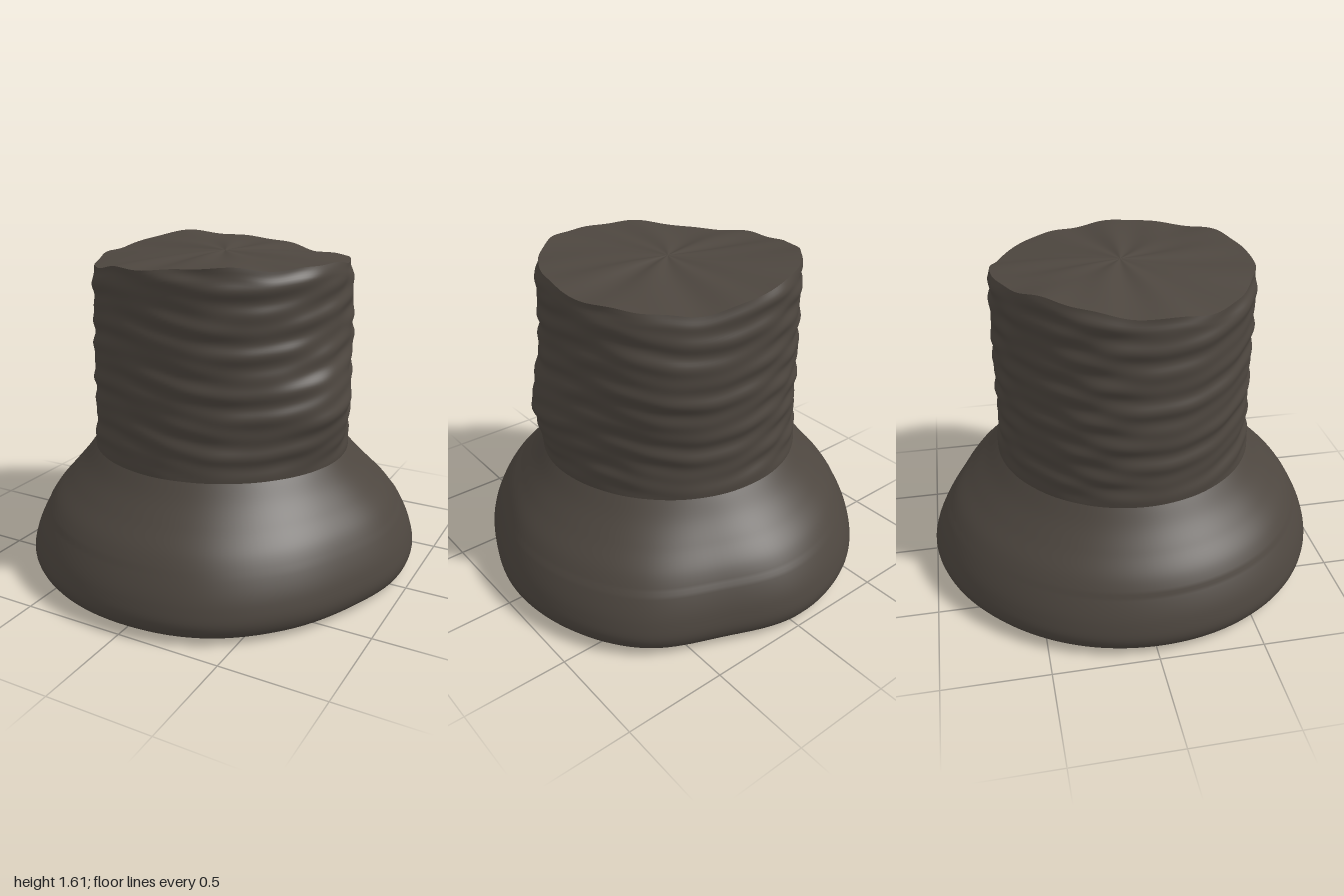
import * as THREE from 'three';

const SEG = 160;
const { sin, cos, exp, PI } = Math;

// Brim outline: radius every 22.5 degrees, from +x towards +z
const OUTLINE = [0.97, 0.94, 0.965, 1, 1, 1, 1, 0.99, 0.98, 0.98, 0.985, 1, 1, 0.955, 1, 0.99];

function brimRadius(t) {
  const n = OUTLINE.length;
  const f = (t / (2 * PI)) * n;
  const i = Math.floor(f);
  const k = f - i;
  const p = (j) => OUTLINE[(i + j + n) % n];
  // smooth closed Catmull-Rom interpolation
  return p(0) + 0.5 * k * (p(1) - p(-1)
    + k * (2 * p(-1) - 5 * p(0) + 4 * p(1) - p(2)
    + k * (3 * (p(0) - p(1)) + p(2) - p(-1))));
}

// Soft bump on the crown at an angle and height
function bump(t, y, t0, y0, wt, wy, amount) {
  const d = Math.atan2(sin(t - t0), cos(t - t0));
  return amount * exp(-((d / wt) ** 2) - ((y - y0) / wy) ** 2);
}

function crownRadius(t, y) {
  const fade = Math.min(1, Math.max(0, (y - 0.6) / 0.12));
  const wrinkles = 0.004 * sin(42 * y + 2.5 * sin(2 * t) + sin(5 * t + 1))
    + 0.003 * sin(67 * y - 3 * sin(3 * t + 2)) + 0.002 * sin(17 * t + 9 * y);
  return 0.628 - 0.012 * cos(t) + 0.008 * sin(t) + fade * wrinkles
    + bump(t, y, 0.28, 0.9, 0.45, 0.2, 0.07)
    + bump(t, y, PI, 0.9, 0.7, 0.35, 0.015)
    + bump(t, y, -0.8, 1.2, 0.5, 0.25, 0.035)
    + 0.015 * exp(-(((y - 0.6) / 0.12) ** 2));
}

// Uneven height of the crown's upper edge
const rimHeight = (t) => 1.555 + 0.03 * cos(2 * (t - 0.87)) + 0.012 * cos(3 * t + 1)
  + 0.007 * sin(7 * t) + 0.004 * sin(13 * t + 1);

// Skin over closed rings; point(v, t) gives [radius, height]
function skin(name, material, rows, point) {
  const pos = [];
  const index = [];
  for (let i = 0; i <= rows; i++) {
    for (let j = 0; j < SEG; j++) {
      const t = (j / SEG) * 2 * PI;
      const [r, y] = point(i / rows, t);
      pos.push(r * cos(t), y, r * sin(t));
      if (i === rows) continue;
      const a = i * SEG + j;
      const b = i * SEG + ((j + 1) % SEG);
      index.push(a, a + SEG, b, b, a + SEG, b + SEG);
    }
  }
  const geometry = new THREE.BufferGeometry();
  geometry.setAttribute('position', new THREE.Float32BufferAttribute(pos, 3));
  geometry.setIndex(index);
  geometry.computeVertexNormals();
  const mesh = new THREE.Mesh(geometry, material);
  mesh.name = name;
  return mesh;
}

export function createModel() {
  const group = new THREE.Group();
  group.name = 'hat';
  const felt = new THREE.MeshStandardMaterial({ color: 0x4d463f, side: THREE.DoubleSide });

  // Brim section from the inner underside, round the lip, up to the crown
  const section = new THREE.CatmullRomCurve3([
    [0.65, 0.09], [0.72, 0.085], [0.8, 0.05], [0.87, 0.024], [0.93, 0.018], [0.975, 0.035],
    [1, 0.09], [0.985, 0.17], [0.945, 0.26], [0.88, 0.36], [0.79, 0.455], [0.71, 0.54], [0.645, 0.62],
  ].map(([r, y]) => new THREE.Vector3(r, y, 0)));
  const brimRows = 64;
  const sectionPoints = section.getSpacedPoints(brimRows);
  group.add(skin('brim', felt, brimRows, (v, t) => {
    const p = sectionPoints[Math.round(v * brimRows)];
    const spread = Math.max(0, (p.x - 0.645) / 0.355);
    const inner = p.y > 0.3 ? crownRadius(t, 0.62) : 0.645;
    return [inner + (brimRadius(t) - 0.005 - inner) * spread, p.y];
  }));

  // Crown wall
  group.add(skin('crownWall', felt, 90, (v, t) => {
    const y = 0.62 + (rimHeight(t) - 0.62) * v;
    return [crownRadius(t, y) - 0.012 * Math.max(0, v - 0.95) / 0.05, y];
  }));

  // Crown top with faint radial folds
  group.add(skin('crownTop', felt, 24, (v, t) => {
    const s = 1 - v;
    const edge = rimHeight(t);
    const folds = 0.006 * sin(9 * t + 2 * s) * s * v * 4;
    return [(crownRadius(t, edge) - 0.012) * s, 1.575 + (edge - 1.575) * s ** 1.5 + folds];
  }));

  // Hollow inside: ceiling, then wall down to the band
  group.add(skin('liningTop', felt, 8, (v, t) => [
    (crownRadius(t, 1.5) - 0.03) * v, 1.545 + (rimHeight(t) - 0.03 - 1.545) * v,
  ]));
  group.add(skin('liningWall', felt, 60, (v, t) => {
    const y = rimHeight(t) - 0.03 + (0.09 - rimHeight(t) + 0.03) * v;
    const blend = Math.min(1, Math.max(0, (0.4 - y) / 0.31));
    return [(crownRadius(t, Math.max(y, 0.6)) - 0.03) * (1 - blend) + 0.65 * blend, y];
  }));

  // Thin band hanging round the opening
  group.add(skin('innerBand', felt, 4, (v, t) => [
    0.65, 0.09 - v * (0.083 + 0.007 * cos(2 * t - 1.2)),
  ]));

  return group;
}
